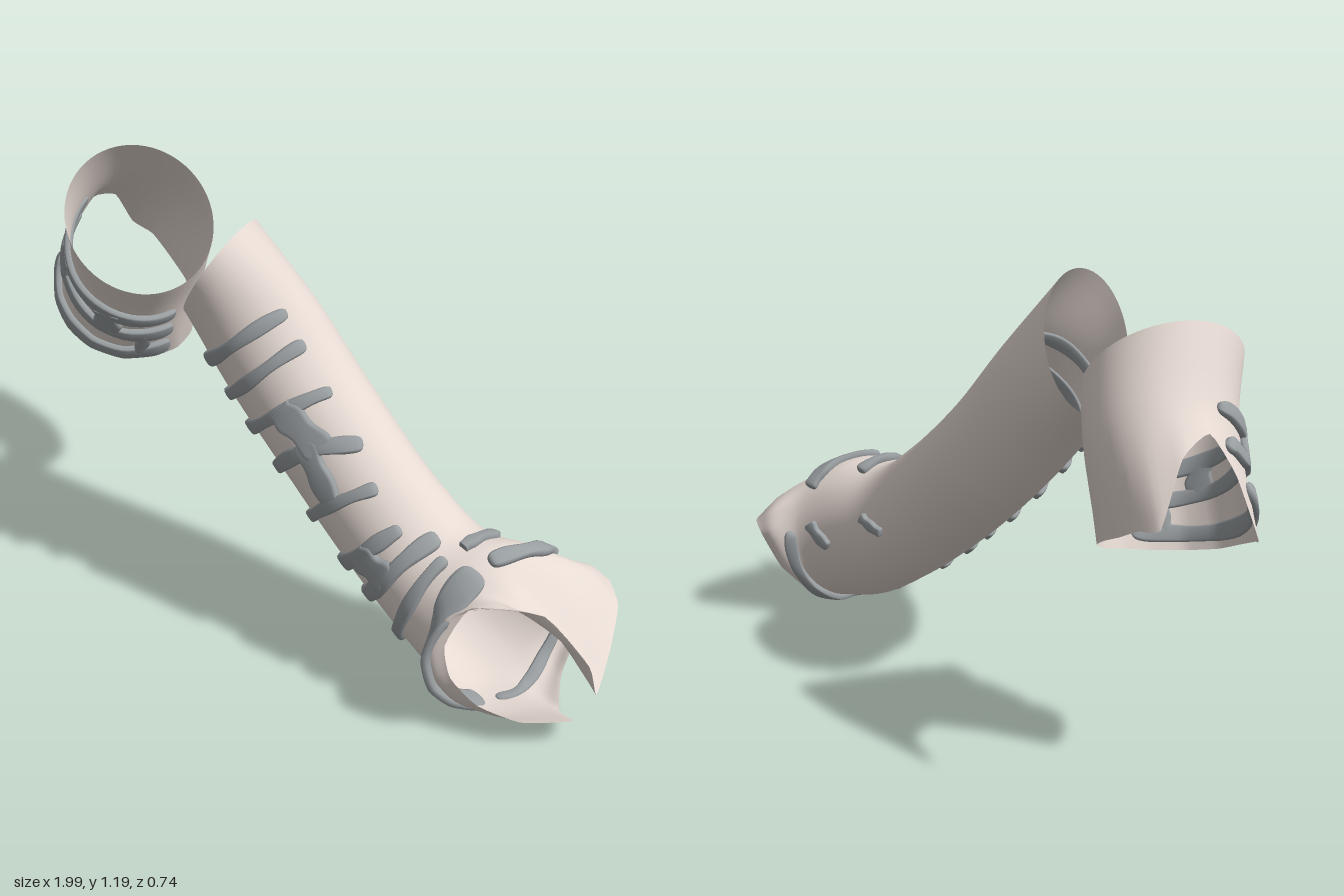
import * as THREE from 'three';

const V = (p) => new THREE.Vector3(...p);
const sleeveMat = new THREE.MeshStandardMaterial({ color: 0xe6dad3, side: THREE.DoubleSide });
const ridgeMat = new THREE.MeshStandardMaterial({ color: 0x999ea1 });

// Elliptical cross-section from its top, bottom, front and rear points
function ellipse(top, bottom, front, rear) {
  const [t, b, f, r] = [top, bottom, front, rear].map(V);
  const c = t.clone().add(b).add(f).add(r).multiplyScalar(0.25);
  const A = t.sub(b).multiplyScalar(0.5), B = f.sub(r).multiplyScalar(0.5);
  return (deg) => {
    const a = THREE.MathUtils.degToRad(deg);
    return c.clone().addScaledVector(A, Math.cos(a)).addScaledVector(B, Math.sin(a));
  };
}

// Free-form rim through evenly numbered points, starting at the top and going to the front
function rim(points) {
  const curve = new THREE.CatmullRomCurve3(points.map(V), true, 'catmullrom', 0.25);
  return (deg) => curve.getPoint((((deg % 360) + 360) % 360) / 360);
}

// Ring halfway between two others, pushed outwards to round the flare
function bulge(ringA, ringB, amount) {
  return (deg) => {
    const out = ringA(deg).sub(ringA(deg + 180)).normalize();
    return ringA(deg).lerp(ringB(deg), 0.5).addScaledVector(out, amount);
  };
}

// Smooth surface through the rings: u counts rings, deg goes round the sleeve
function loft(rings, sign) {
  const last = rings.length - 1;
  const at = (u, deg) =>
    new THREE.CatmullRomCurve3(rings.map((r) => r(deg))).getPoint(THREE.MathUtils.clamp(u / last, 0, 1));
  const normal = (u, deg) => {
    const du = at(u + 0.03, deg).sub(at(u - 0.03, deg));
    const da = at(u, deg + 2).sub(at(u, deg - 2));
    return da.cross(du).multiplyScalar(sign).normalize();
  };
  return { at, normal, last, sign };
}

function gridMesh(name, pos, rows, cols, flip, mat) {
  const index = [];
  for (let i = 0; i < rows - 1; i++) {
    for (let j = 0; j < cols; j++) {
      const a = i * cols + j, b = i * cols + ((j + 1) % cols), c = a + cols, d = b + cols;
      if (flip) index.push(a, c, b, b, c, d);
      else index.push(a, b, c, b, d, c);
    }
  }
  const g = new THREE.BufferGeometry();
  g.setAttribute('position', new THREE.Float32BufferAttribute(pos, 3));
  g.setIndex(index);
  g.computeVertexNormals();
  const m = new THREE.Mesh(g, mat);
  m.name = name;
  return m;
}

function sleeve(name, surf) {
  const rows = surf.last * 8 + 1, cols = 64, pos = [];
  for (let i = 0; i < rows; i++)
    for (let j = 0; j < cols; j++) pos.push(...surf.at(i / 8, (j * 360) / cols).toArray());
  return gridMesh(name, pos, rows, cols, surf.sign < 0, sleeveMat);
}

// Raised ridge: a flat, blunt section swept along a [u, degrees] path on the sleeve
function ridge(name, surf, path, width) {
  const curve = new THREE.CatmullRomCurve3(path.map(([u, a]) => new THREE.Vector3(u, a / 60, 0)));
  const rows = 41, cols = 12, pos = [];
  const point = (s) => {
    const q = curve.getPoint(THREE.MathUtils.clamp(s, 0, 1));
    return [q.x, q.y * 60];
  };
  const blunt = (v) => Math.sign(v) * Math.sqrt(Math.abs(v));
  for (let i = 0; i < rows; i++) {
    const s = (1 - Math.cos((Math.PI * i) / (rows - 1))) / 2;
    const [u, a] = point(s);
    const p = surf.at(u, a), n = surf.normal(u, a);
    const tan = surf.at(...point(s + 0.01)).sub(surf.at(...point(s - 0.01))).normalize();
    const side = n.clone().cross(tan).normalize();
    const taper = Math.sqrt(Math.max(0, 1 - Math.pow(Math.abs(2 * s - 1), 24)));
    const w = (width / 2) * taper * (1 + 0.12 * Math.sin(s * 13 + path[0][0] * 5));
    for (let j = 0; j < cols; j++) {
      const b = (j / cols) * Math.PI * 2;
      const v = p.clone().addScaledVector(side, blunt(Math.cos(b)) * w)
        .addScaledVector(n, (blunt(Math.sin(b)) * 0.013 + 0.005) * taper);
      pos.push(...v.toArray());
    }
  }
  return gridMesh(name, pos, rows, cols, false, ridgeMat);
}

function part(name, surf, ridges) {
  const g = new THREE.Group();
  g.name = name;
  g.add(sleeve(name + 'Shell', surf));
  ridges.forEach(([path, w], i) => g.add(ridge(name + 'Ridge' + (i + 1), surf, path, w)));
  return g;
}

export function createModel() {
  const model = new THREE.Group();
  model.name = 'sleeves';

  // Long curved sleeve, flaring into a mouth with a deep front notch
  const wrist = ellipse([0.73, 0.455, -0.05], [0.7, 0.02, -0.05], [0.6, 0.24, 0.18], [0.64, 0.26, -0.27]);
  const mouth = rim([
    [1, 0.15, -0.1], [0.995, 0.26, -0.07], [0.89, 0.4, 0], [0.74, 0.4, 0.12],
    [0.7, 0.28, 0.175], [0.72, 0.18, 0.17], [0.79, 0.11, 0.135], [0.89, 0.08, 0.07],
    [0.97, 0.07, -0.05], [0.87, 0.015, -0.1], [0.78, 0.04, -0.2], [0.75, 0.13, -0.3],
    [0.745, 0.25, -0.365], [0.78, 0.28, -0.365], [0.86, 0.26, -0.32], [0.94, 0.21, -0.21],
  ]);
  const long = loft([
    ellipse([-0.12, 1.18, 0.2], [-0.38, 0.85, 0.08], [-0.2, 0.98, 0.32], [-0.29, 1.05, 0]),
    ellipse([0, 0.98, 0.1], [-0.2, 0.68, 0.11], [-0.08, 0.82, 0.255], [-0.12, 0.84, -0.06]),
    ellipse([0.17, 0.78, 0.06], [0, 0.48, 0.07], [0.09, 0.63, 0.22], [0.08, 0.63, -0.1]),
    ellipse([0.42, 0.57, 0.03], [0.25, 0.28, 0.04], [0.34, 0.42, 0.195], [0.33, 0.43, -0.125]),
    ellipse([0.56, 0.475, 0], [0.48, 0.12, 0], [0.51, 0.3, 0.18], [0.51, 0.3, -0.18]),
    wrist, bulge(wrist, mouth, 0.025), mouth,
  ], 1);
  model.add(part('longSleeve', long, [
    // Ridges wrapping over the front
    [[[1.02, 12], [0.85, 80], [0.62, 145]], 0.04],
    [[[1.4, 14], [1.3, 80], [1.12, 145]], 0.038],
    [[[1.95, 15], [1.75, 80], [1.5, 148]], 0.04],
    [[[2.45, 18], [2.2, 70], [2, 150]], 0.045],
    [[[2.8, 30], [2.65, 80], [2.5, 150]], 0.038],
    [[[3.35, 35], [3.2, 80], [2.95, 148]], 0.045],
    [[[3.85, 14], [3.65, 80], [3.35, 150]], 0.05],
    [[[4.3, 25], [4.2, 85], [3.9, 152]], 0.038],
    [[[5, 22], [5.1, 55], [5.5, 95], [5.5, 130], [5.4, 162]], 0.085],
    // Webs joining neighbouring ridges
    [[[1.75, 66], [2.3, 54]], 0.09],
    [[[2.15, 64], [2.65, 75]], 0.07],
    [[[3.15, 85], [3.7, 75]], 0.09],
    // Short ridges on the top, the rear and under the mouth
    [[[4.35, 10], [4.3, -30]], 0.035],
    [[[5, 12], [5.1, -25], [5, -52]], 0.045],
    [[[4.75, -82], [4.45, -102]], 0.035],
    [[[3.75, -82], [3.45, -105]], 0.03],
    [[[5.5, 170], [5.6, 200], [5.5, 235], [5.25, 272]], 0.035],
  ]));

  // Short cuff with an open notch on its outer side
  const short = loft([
    ellipse([-0.73, 1.18, 0.13], [-0.45, 0.85, 0.1], [-0.63, 0.98, 0.415], [-0.57, 1.05, 0]),
    ellipse([-0.83, 1, 0.1], [-0.51, 0.73, 0.08], [-0.7, 0.82, 0.32], [-0.7, 0.9, -0.09]),
    rim([
      [-0.9, 0.94, 0.1], [-0.935, 0.83, 0.16], [-0.98, 0.67, 0.2], [-0.9, 0.63, 0.25],
      [-0.82, 0.595, 0.265], [-0.74, 0.56, 0.25], [-0.66, 0.54, 0.2], [-0.61, 0.54, 0.12],
      [-0.59, 0.55, 0.05], [-0.61, 0.57, -0.02], [-0.67, 0.61, -0.08], [-0.75, 0.65, -0.11],
      [-0.84, 0.69, -0.12], [-0.92, 0.73, -0.12], [-0.99, 0.75, -0.1], [-0.93, 0.9, 0],
    ]),
  ], -1);
  model.add(part('shortCuff', short, [
    [[[1, 14], [1.08, 60], [1.05, 110], [1, 178]], 0.045],
    [[[1.6, 16], [1.35, 50], [1.4, 110], [1.38, 175]], 0.045],
    [[[1.6, 40], [1.8, 75], [1.82, 120], [1.75, 172]], 0.05],
    [[[1.05, 62], [1.42, 58]], 0.09],
    [[[1.05, 118], [1.42, 122]], 0.08],
    [[[1.4, 150], [1.78, 146]], 0.04],
  ]));
  return model;
}
